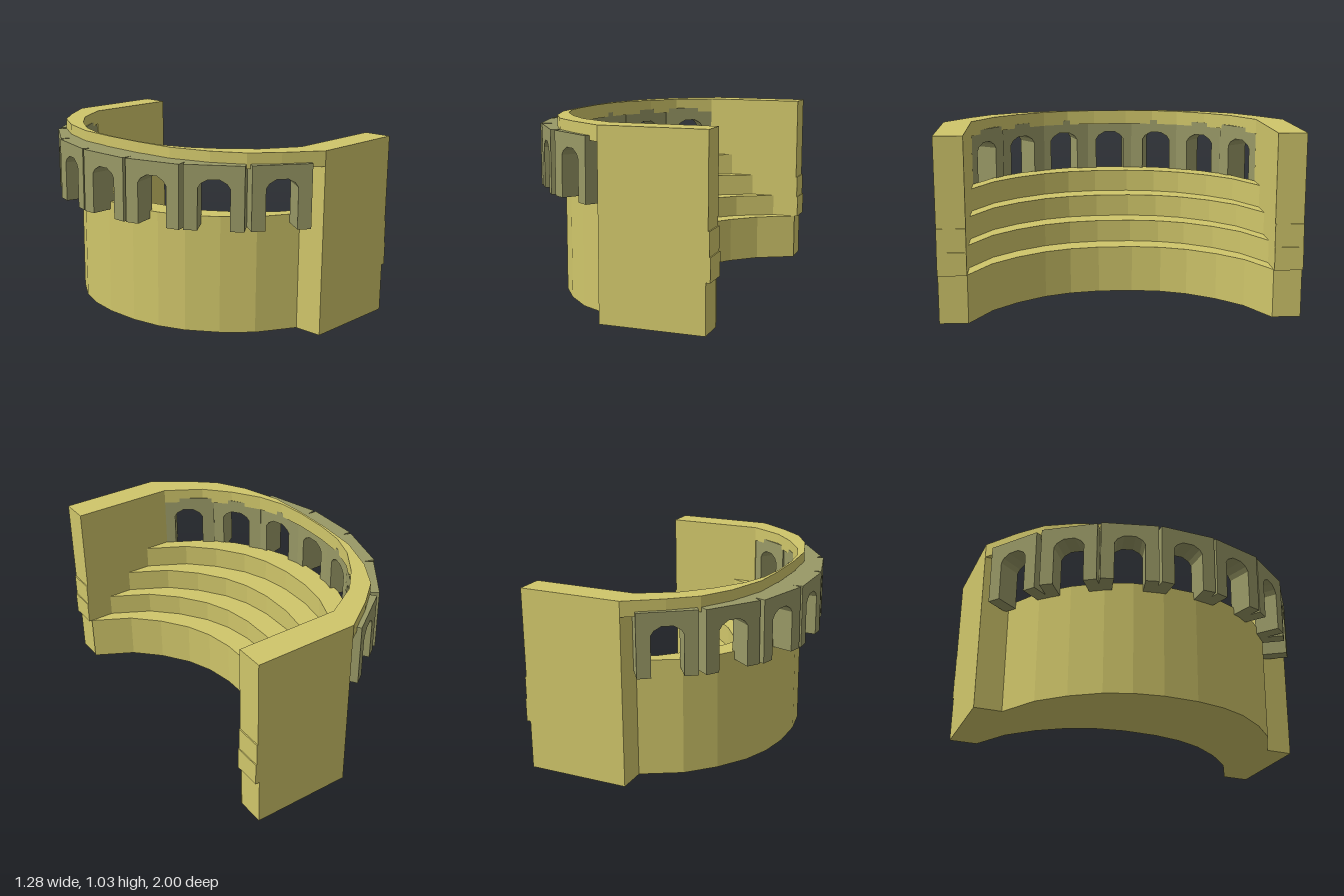
import * as THREE from 'three';

const stone = new THREE.MeshStandardMaterial({ color: 0xd0c66a, flatShading: true });
const arcadeStone = new THREE.MeshStandardMaterial({ color: 0x999966, flatShading: true });

// Half curves as [x, z], from the wall end to the middle
const seatCurve = [[0.62, 0.84], [0.40, 0.72], [0.26, 0.58], [0.15, 0.42], [0.09, 0.27], [0.06, 0.10]];
const rimOuter = [[0.035, 1], [-0.16, 0.865], [-0.30, 0.745], [-0.40, 0.575], [-0.475, 0.35], [-0.492, 0.12]];
const rimInner = [[0.035, 0.84], [-0.17, 0.72], [-0.30, 0.58], [-0.405, 0.42], [-0.46, 0.27], [-0.48, 0.10]];
const STEP = 0.145;

const vectors = (pts) => pts.map(([x, y]) => new THREE.Vector2(x, y));
const shifted = (pts, dx) => pts.map(([x, z]) => [x + dx, z]);
const mirrored = (pts) => [...pts, ...pts.slice().reverse().map(([x, z]) => [x, -z])];

// Horizontal slab between two mirrored curves, from y0 to y1
function slab(name, front, back, y0, y1) {
  const outline = [...mirrored(front), ...mirrored(back).reverse()];
  const geo = new THREE.ExtrudeGeometry(new THREE.Shape(vectors(outline)), { depth: y1 - y0, bevelEnabled: false });
  geo.rotateX(Math.PI / 2);
  geo.translate(0, y1, 0);
  const mesh = new THREE.Mesh(geo, stone);
  mesh.name = name;
  return mesh;
}

// Arch block: width along x, outer face at z = 0, body going to -z
function archGeometry() {
  const w = 0.163, o = 0.087, y0 = 0.62, y1 = 0.975;
  const half = [[w, y0], [w, y1]];
  const opening = [[-o, y0], [-o, 0.85], [-0.07, 0.875], [-0.032, 0.897]];
  const outline = [
    ...half, ...half.slice().reverse().map(([x, y]) => [-x, y]),
    ...opening, ...opening.slice().reverse().map(([x, y]) => [-x, y]),
  ];
  const geo = new THREE.ExtrudeGeometry(new THREE.Shape(vectors(outline)), { depth: 0.15, bevelEnabled: false });
  geo.translate(0, 0, -0.15);
  return geo;
}

export function createModel() {
  const model = new THREE.Group();
  model.name = 'amphitheatre';

  // Seating tiers, each set back from the one below
  const tierHeights = [0, 0.275, 0.405, 0.535, 0.665];
  const back = shifted(seatCurve, -4 * STEP);
  for (let k = 0; k < 4; k++) {
    model.add(slab('seatTier' + (k + 1), shifted(seatCurve, -k * STEP), back, tierHeights[k], tierHeights[k + 1]));
  }

  // Side walls with slightly stepped front ends
  const profile = [
    [0.035, 0], [0.615, 0], [0.615, 0.275], [0.638, 0.275], [0.638, 0.405],
    [0.632, 0.405], [0.632, 0.535], [0.625, 0.535], [0.625, 1.035], [0.035, 1.035],
  ];
  const wallGeo = new THREE.ExtrudeGeometry(new THREE.Shape(vectors(profile)), { depth: 0.16, bevelEnabled: false });
  for (const [name, z] of [['frontSideWall', 0.84], ['backSideWall', -1]]) {
    const wall = new THREE.Mesh(wallGeo, stone);
    wall.name = name;
    wall.position.z = z;
    model.add(wall);
  }

  // Rim joining the walls above the arcade
  model.add(slab('topRim', rimInner, rimOuter, 0.95, 1.035));

  // Arcade of seven arches around the back
  const arcade = new THREE.Group();
  arcade.name = 'arcade';
  const archGeo = archGeometry();
  const places = [[-0.645, 0, 0], [-0.595, 0.335, 16], [-0.4375, 0.64, 35.4], [-0.175, 0.885, 54.9]];
  for (const [x, z, deg] of places) {
    for (const side of z === 0 ? [1] : [1, -1]) {
      const arch = new THREE.Mesh(archGeo, arcadeStone);
      arch.name = 'arch';
      arch.position.set(x, 0, z * side);
      arch.rotation.y = -Math.PI / 2 + side * THREE.MathUtils.degToRad(deg);
      arcade.add(arch);
    }
  }
  model.add(arcade);
  return model;
}
